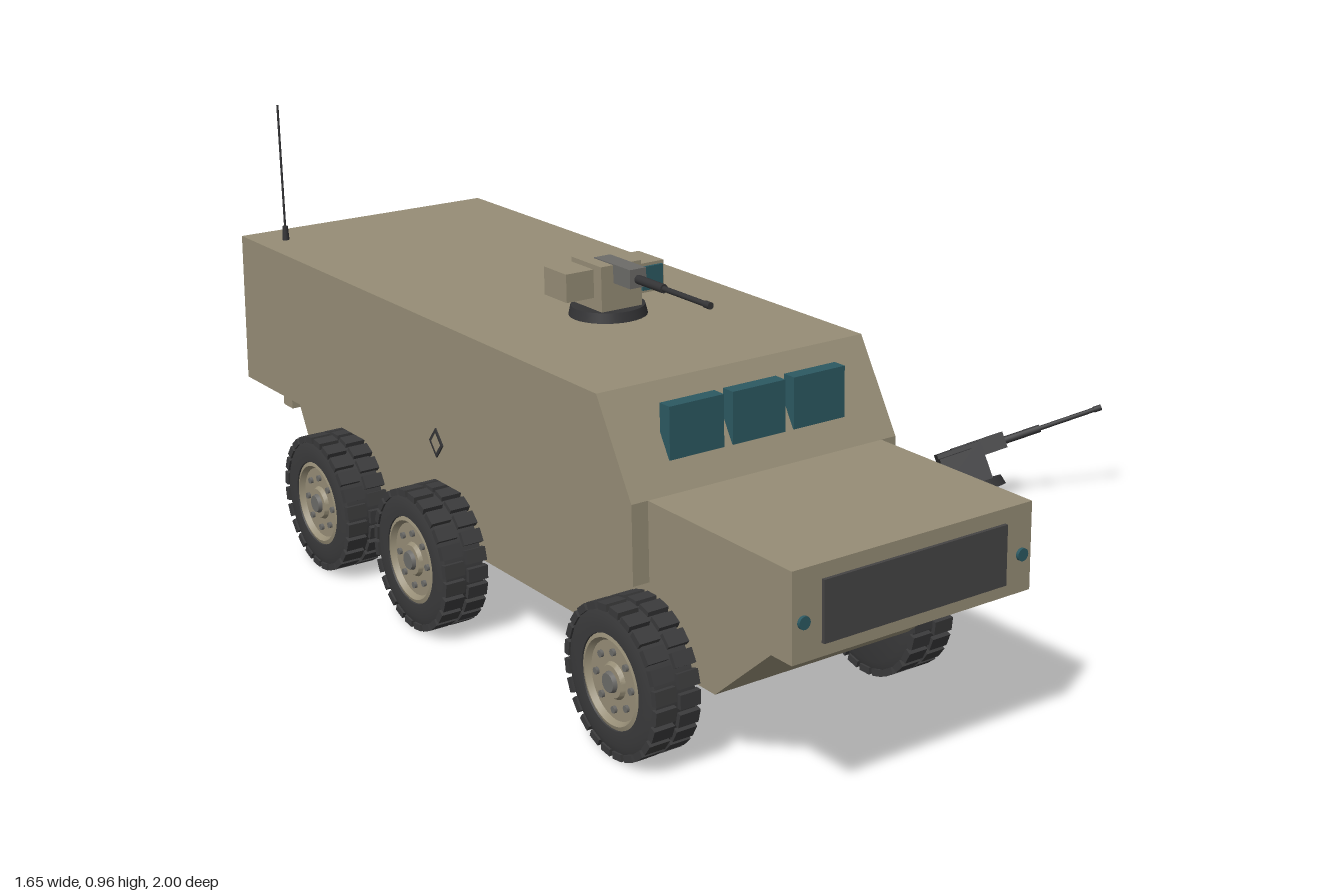
import * as THREE from 'three';
import { mergeGeometries, toCreasedNormals } from 'three/addons/utils/BufferGeometryUtils.js';

const mat = (name, color) => Object.assign(new THREE.MeshStandardMaterial({ color }), { name });

export function createModel() {
  const khaki = mat('khaki paint', 0x968d76);
  const rubber = mat('tyre rubber', 0x3a3a3b);
  const dark = mat('dark metal', 0x343436);
  const grilleGrey = mat('grille grey', 0x454444);
  const steel = mat('steel grey', 0x6c6b68);
  const glass = mat('teal glass', 0x2c5962);

  const add = (parent, name, geo, material, x = 0, y = 0, z = 0) => {
    const mesh = new THREE.Mesh(geo, material);
    mesh.name = name;
    mesh.position.set(x, y, z);
    parent.add(mesh);
    return mesh;
  };
  // box given by its limits on each axis
  const box = (parent, name, material, x0, x1, y0, y1, z0, z1) =>
    add(parent, name, new THREE.BoxGeometry(x1 - x0, y1 - y0, z1 - z0), material,
      (x0 + x1) / 2, (y0 + y1) / 2, (z0 + z1) / 2);
  // side profile of [z, y] points, extruded across x
  const sideProfile = (points, width) => {
    const shape = new THREE.Shape(points.map(p => new THREE.Vector2(...p)));
    const geo = new THREE.ExtrudeGeometry(shape, { depth: width, bevelEnabled: false });
    return geo.translate(0, 0, -width / 2).rotateY(-Math.PI / 2);
  };
  const rodZ = (r, length, sides = 12) =>
    new THREE.CylinderGeometry(r, r, length, sides).rotateX(Math.PI / 2);

  const model = new THREE.Group();
  model.name = 'armouredCarrierSet';
  const vehicle = new THREE.Group();
  vehicle.name = 'vehicle';
  vehicle.position.x = -0.48;
  model.add(vehicle);

  // Hull
  add(vehicle, 'upperBody', sideProfile(
    [[0.58, 0.33], [0.58, 0.485], [0.475, 0.663], [-0.96, 0.663], [-0.977, 0.33]], 0.606), khaki);
  add(vehicle, 'lowerHull', sideProfile(
    [[0.935, 0.33], [-0.915, 0.33], [-0.82, 0.15], [0.717, 0.15]], 0.45), khaki);
  box(vehicle, 'hood', khaki, -0.268, 0.268, 0.317, 0.485, 0.57, 0.993);
  box(vehicle, 'rearDoor', khaki, -0.21, 0.21, 0.24, 0.615, -0.998, -0.955);
  box(vehicle, 'grille', grilleGrey, -0.205, 0.205, 0.342, 0.457, 0.992, 1.0);

  // Windscreen panes
  for (const x of [-0.14, 0, 0.14])
    box(vehicle, 'windscreenPane', glass, x - 0.06, x + 0.06, 0.537, 0.638, 0.522, 0.552);

  // Mirrored details
  const diamond = r => [[0, r], [r * 0.85, 0], [0, -r], [-r * 0.85, 0]].map(p => new THREE.Vector2(...p));
  const markShape = new THREE.Shape(diamond(0.031));
  markShape.holes.push(new THREE.Path(diamond(0.021)));
  const markGeo = new THREE.ExtrudeGeometry(markShape, { depth: 0.004, bevelEnabled: false }).rotateY(Math.PI / 2);
  for (const s of [-1, 1]) {
    add(vehicle, 'headlight', rodZ(0.012, 0.008, 20), glass, s * 0.245, 0.39, 0.995);
    box(vehicle, 'tailLight', dark, s * 0.272 - 0.022, s * 0.272 + 0.022, 0.35, 0.375, -0.986, -0.96);
    add(vehicle, 'sideDiamond', markGeo, dark, s > 0 ? 0.302 : -0.306, 0.41, -0.11);
  }

  // Aerial
  add(vehicle, 'aerialBase', new THREE.CylinderGeometry(0.006, 0.008, 0.032, 10), dark, -0.24, 0.678, -0.87);
  add(vehicle, 'aerial', new THREE.CylinderGeometry(0.0025, 0.0025, 0.28, 8), dark, -0.24, 0.825, -0.87);

  // Wheel, built with its outer face towards +x
  const lathe = points => toCreasedNormals(
    new THREE.LatheGeometry(points.map(p => new THREE.Vector2(...p)), 40), 0.5).rotateZ(-Math.PI / 2);
  const tyreGeo = lathe([[0, -0.045], [0.12, -0.049], [0.139, -0.042], [0.139, 0.042],
    [0.12, 0.049], [0.092, 0.047], [0.086, 0.03]]);
  const rimGeo = lathe([[0.092, 0.044], [0.083, 0.047], [0.076, 0.036], [0.036, 0.036], [0.031, 0.044], [0, 0.044]]);
  const lugs = [];
  for (const row of [-1, 1])
    for (let i = 0; i < 24; i++)
      lugs.push(new THREE.BoxGeometry(0.044, 0.014, 0.028).translate(row * 0.026, 0.141, 0)
        .rotateX((i + (row > 0 ? 0.5 : 0)) / 24 * Math.PI * 2));
  const lugGeo = mergeGeometries(lugs);
  const bolts = [];
  for (let i = 0; i < 8; i++)
    bolts.push(new THREE.CylinderGeometry(0.007, 0.007, 0.008, 8).rotateZ(-Math.PI / 2)
      .translate(0.038, 0.056, 0).rotateX(i / 8 * Math.PI * 2));
  const boltGeo = mergeGeometries(bolts);
  const capGeo = new THREE.CylinderGeometry(0.018, 0.022, 0.012, 20).rotateZ(-Math.PI / 2);

  for (const z of [0.56, -0.17, -0.58]) {
    add(vehicle, 'axle', new THREE.CylinderGeometry(0.017, 0.017, 0.52, 14).rotateZ(Math.PI / 2), dark, 0, 0.152, z);
    for (const s of [-1, 1]) {
      const wheel = new THREE.Group();
      wheel.name = 'wheel';
      wheel.position.set(s * 0.297, 0.15, z);
      if (s < 0) wheel.rotation.y = Math.PI;
      add(wheel, 'tyre', tyreGeo, rubber);
      add(wheel, 'tread', lugGeo, rubber);
      add(wheel, 'rim', rimGeo, khaki);
      add(wheel, 'wheelBolts', boltGeo, steel);
      add(wheel, 'hubCap', capGeo, steel, 0.046);
      vehicle.add(wheel);
    }
  }

  // Weapon station, origin at the underside of its ring, gun along +z
  const weaponStation = (paint, receiver, lens) => {
    const g = new THREE.Group();
    g.name = 'weaponStation';
    add(g, 'turretRing', new THREE.CylinderGeometry(0.074, 0.079, 0.022, 32), dark, 0, 0.011, 0);
    box(g, 'turretHousing', paint, -0.047, 0.047, 0.02, 0.113, -0.055, 0.05);
    box(g, 'ammunitionBox', paint, -0.11, -0.046, 0.046, 0.103, -0.057, 0.023);
    box(g, 'sightBox', paint, 0.046, 0.107, 0.042, 0.102, -0.047, 0.04);
    box(g, 'sightLens', lens, 0.053, 0.101, 0.048, 0.096, 0.038, 0.046);
    box(g, 'gunReceiver', receiver, -0.019, 0.019, 0.077, 0.115, -0.017, 0.108);
    add(g, 'barrelJacket', rodZ(0.009, 0.09), dark, 0, 0.094, 0.15);
    add(g, 'barrel', rodZ(0.0055, 0.16), dark, 0, 0.094, 0.266);
    add(g, 'muzzle', rodZ(0.007, 0.018), dark, 0, 0.094, 0.337);
    return g;
  };
  const mounted = weaponStation(khaki, steel, glass);
  mounted.position.set(0, 0.661, 0.057);
  vehicle.add(mounted);

  // Spare weapon station lying tilted beside the vehicle
  const spare = weaponStation(dark, dark, dark);
  spare.name = 'spareWeaponStation';
  const forward = new THREE.Vector3(0.82, 0.3, 0.483).normalize();
  const side = new THREE.Vector3(-0.07, 0.89, -0.45).cross(forward).normalize();
  const up = forward.clone().cross(side);
  spare.quaternion.setFromRotationMatrix(new THREE.Matrix4().makeBasis(side, up, forward));
  spare.position.set(0.54, 0.04, 0.025);
  model.add(spare);

  return model;
}
